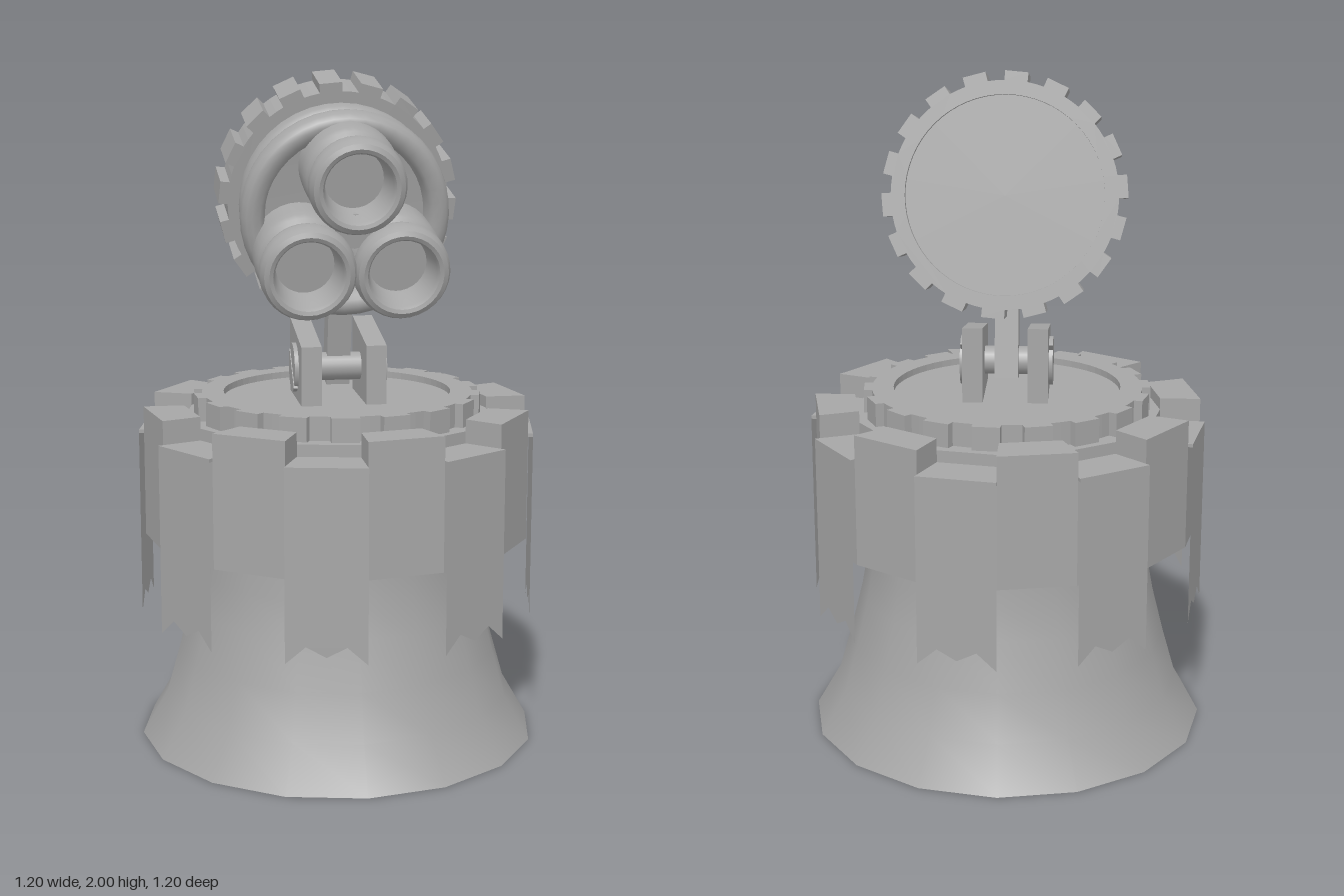
import * as THREE from 'three';
import { toCreasedNormals } from 'three/addons/utils/BufferGeometryUtils.js';

const GREY = 0xa6a6a6;
const mat = new THREE.MeshStandardMaterial({ color: GREY });
const flat = new THREE.MeshStandardMaterial({ color: GREY, flatShading: true });
const open = new THREE.MeshStandardMaterial({ color: GREY, side: THREE.DoubleSide });

const SIDES = 16;
const HALF = Math.PI / SIDES;

function add(parent, name, geometry, material = mat) {
  const mesh = new THREE.Mesh(geometry, material);
  mesh.name = name;
  parent.add(mesh);
  return mesh;
}

// Revolved profile of [radius, height] pairs
function lathe(points, segments, crease = 0.7) {
  const g = new THREE.LatheGeometry(points.map(([r, y]) => new THREE.Vector2(r, y)), segments);
  return toCreasedNormals(g, crease);
}

function polygon(points) {
  return new THREE.Shape(points.map(([x, y]) => new THREE.Vector2(x, y)));
}

function extrude(shape, depth) {
  return new THREE.ExtrudeGeometry(shape, { depth, bevelEnabled: false, curveSegments: 32 });
}

// Toothed ring lying in the xy plane, extruded along +z
function gear(root, tip, hole, depth, phase) {
  const teeth = 18, pitch = (Math.PI * 2) / teeth, pts = [];
  for (let i = 0; i < teeth; i++) {
    const corners = [[-0.5, root], [-0.29, root], [-0.27, tip], [0.27, tip], [0.29, root]];
    for (const [f, r] of corners) {
      const a = phase + (i + f) * pitch;
      pts.push([r * Math.sin(a), r * Math.cos(a)]);
    }
  }
  // The outline runs clockwise, so the hole runs the other way
  const shape = polygon(pts);
  shape.holes.push(new THREE.Path().absarc(0, 0, hole, 0, Math.PI * 2, false));
  return extrude(shape, depth);
}

// One sector of the sixteen-sided drum, facing +z
function sector(rIn, rOut, y0, y1) {
  const s = Math.sin(HALF), c = Math.cos(HALF);
  const shape = polygon([
    [-rOut * s, -rOut * c], [rOut * s, -rOut * c], [rIn * s, -rIn * c], [-rIn * s, -rIn * c],
  ]);
  return extrude(shape, y1 - y0).rotateX(-Math.PI / 2).translate(0, y0, 0);
}

function buildBase(root) {
  // Flared hollow pedestal
  add(root, 'pedestal', lathe([
    [0.6, 0], [0.525, 0.13], [0.485, 0.27], [0.45, 0.41], [0.43, 0.52], [0.425, 0.62],
  ], SIDES), open);

  // Closed faceted drum with sloping underside
  add(root, 'drum', lathe([
    [0, 0.585], [0.42, 0.585], [0.58, 0.63], [0.58, 0.942], [0.46, 0.942], [0.46, 0.985], [0, 0.985],
  ], SIDES, 0.1), flat);

  // Alternating raised blocks and thin draped banners
  const block = sector(0.46, 0.58, 0.942, 1.02);
  const flap = sector(0.46, 0.595, 0.94, 0.95);
  const w = 0.595 * Math.sin(HALF);
  const cloth = new THREE.ShapeGeometry(polygon([
    [-w, 0.95], [-w, 0.39], [-w * 0.5, 0.44], [0, 0.41], [w * 0.5, 0.44], [w, 0.39], [w, 0.95],
  ])).translate(0, 0, 0.595 * Math.cos(HALF));
  for (let i = 0; i < 8; i++) {
    const turn = i * Math.PI / 4;
    add(root, 'raisedBlock', block, flat).rotation.y = turn + HALF;
    const banner = new THREE.Group();
    banner.name = 'banner';
    banner.rotation.y = turn - HALF;
    add(banner, 'bannerTop', flap, flat);
    add(banner, 'bannerCloth', cloth, open);
    root.add(banner);
  }

  // Toothed turntable with sunken plate
  add(root, 'turntableRing',
    gear(0.405, 0.43, 0.34, 0.075, 0.09).rotateX(-Math.PI / 2).translate(0, 0.98, 0), flat);
  add(root, 'turntablePlate', new THREE.CylinderGeometry(0.342, 0.342, 0.05, 32).translate(0, 1.01, 0));
}

function buildBracket(root) {
  const bracket = new THREE.Group();
  bracket.name = 'bracket';
  root.add(bracket);
  const plate = extrude(polygon([[0.145, 1.03], [0.145, 1.21], [-0.12, 1.26], [-0.12, 1.03]]), 0.06)
    .rotateY(-Math.PI / 2);

  // Half of a slotted screw head
  const half = new THREE.Shape().absarc(0, 0, 0.073, 0.1, Math.PI - 0.1, false);
  const halfHead = extrude(half, 0.012);
  for (const side of [-1, 1]) {
    add(bracket, 'cheekPlate', plate, flat).position.x = side * 0.096 + 0.03;
    const screw = new THREE.Group();
    screw.name = 'screwHead';
    screw.position.set(side * 0.126, 1.13, 0.015);
    screw.rotation.y = side * Math.PI / 2;
    for (const flip of [0, Math.PI]) {
      add(screw, 'screwHalf', halfHead).rotation.z = flip + side * 0.8;
    }
    bracket.add(screw);
  }
  const axle = new THREE.CylinderGeometry(0.042, 0.042, 0.2, 20).rotateZ(Math.PI / 2);
  add(bracket, 'axle', axle).position.set(0, 1.13, 0.015);

  // Neck leaning with the lamp head
  const neck = add(bracket, 'neck', new THREE.BoxGeometry(0.07, 0.29, 0.075), flat);
  neck.position.set(0, 1.225, 0.013);
  neck.rotation.x = 0.193;
}

function buildHead(root) {
  const head = new THREE.Group();
  head.name = 'head';
  head.position.set(0, 1.655, -0.138);
  head.rotation.x = 0.193;
  root.add(head);

  add(head, 'headRing', gear(0.325, 0.352, 0.285, 0.167, -0.09), flat);
  add(head, 'headPlate',
    new THREE.CylinderGeometry(0.287, 0.287, 0.14, 40).rotateX(Math.PI / 2).translate(0, 0, 0.09));

  // Two-banded collar with a dished front
  add(head, 'collar', lathe([
    [0, 0.15], [0.29, 0.15], [0.295, 0.19], [0.294, 0.215], [0.286, 0.232], [0.274, 0.24],
    [0.274, 0.252], [0.288, 0.26], [0.299, 0.275], [0.303, 0.297], [0.299, 0.325], [0.288, 0.34],
    [0.272, 0.345], [0.25, 0.342], [0.238, 0.33], [0.23, 0.29], [0, 0.28],
  ], 40).rotateX(Math.PI / 2));

  // Three waisted barrels with tapered bores around a hidden core
  const barrel = lathe([
    [0, 0.27], [0.136, 0.27], [0.138, 0.37], [0.137, 0.405], [0.131, 0.425], [0.118, 0.436],
    [0.114, 0.448], [0.118, 0.46], [0.131, 0.474], [0.137, 0.5], [0.135, 0.53], [0.127, 0.549],
    [0.113, 0.556], [0.102, 0.552], [0.096, 0.54], [0.084, 0.44], [0, 0.44],
  ], 32).rotateX(Math.PI / 2);
  for (const [x, y] of [[0, 0.142], [-0.132, -0.104], [0.132, -0.104]]) {
    add(head, 'barrel', barrel).position.set(x, y, 0);
  }
  add(head, 'barrelCore',
    new THREE.CylinderGeometry(0.05, 0.05, 0.23, 16).rotateX(Math.PI / 2).translate(0, 0.005, 0.375));
}

export function createModel() {
  const root = new THREE.Group();
  root.name = 'turret';
  buildBase(root);
  buildBracket(root);
  buildHead(root);
  return root;
}
